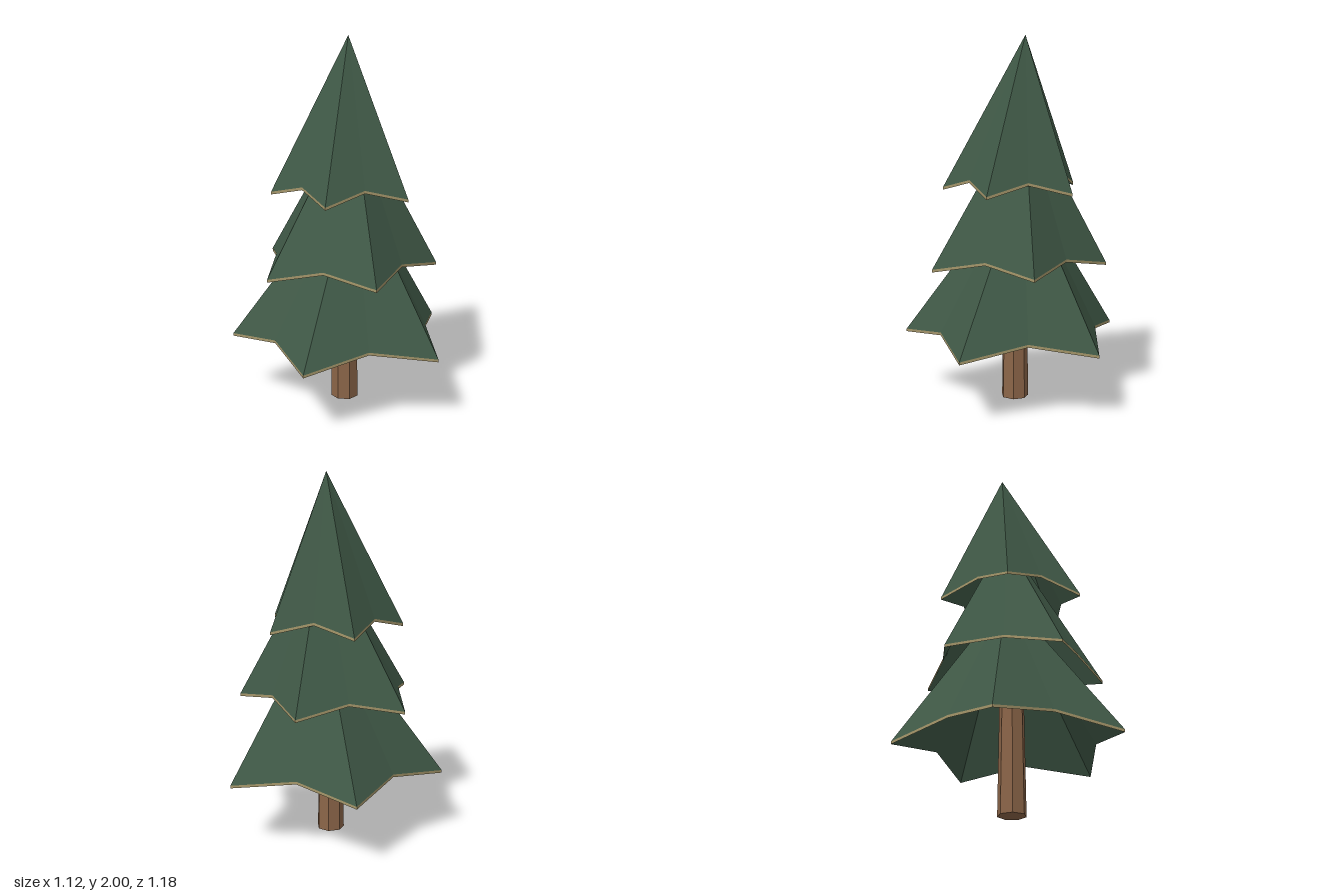
import * as THREE from 'three';

const needleGreen = new THREE.MeshStandardMaterial({ color: 0x3f5846, flatShading: true, name: 'needleGreen' });
const rimTan = new THREE.MeshStandardMaterial({ color: 0xa5966a, flatShading: true, name: 'rimTan' });
const barkBrown = new THREE.MeshStandardMaterial({ color: 0x8b6548, flatShading: true, name: 'barkBrown' });

const CENTRE_X = -0.06;
const RIM = 0.015;

function meshFromTriangles(points, material, name) {
  const geometry = new THREE.BufferGeometry().setFromPoints(points);
  geometry.computeVertexNormals();
  const mesh = new THREE.Mesh(geometry, material);
  mesh.name = name;
  return mesh;
}

// Hollow five-pointed cone: the tips droop below the valleys, a thin rim closes the edge
function makeTier({ name, tipRadius, valleyRadius, tipY, valleyY, phase, apex }) {
  const top = new THREE.Vector3(...apex);
  const down = new THREE.Vector3(0, -RIM, 0);
  const ring = [];
  for (let i = 0; i < 10; i++) {
    const angle = THREE.MathUtils.degToRad(phase + i * 36);
    const isTip = i % 2 === 0;
    const r = isTip ? tipRadius : valleyRadius;
    ring.push(new THREE.Vector3(
      CENTRE_X + r * Math.cos(angle), isTip ? tipY : valleyY, r * Math.sin(angle)));
  }
  const low = ring.map((p) => p.clone().add(down));
  const lowTop = top.clone().add(down);

  const outer = [], inner = [], rim = [];
  for (let i = 0; i < 10; i++) {
    const j = (i + 1) % 10;
    outer.push(top, ring[j], ring[i]);
    inner.push(lowTop, low[i], low[j]);
    rim.push(ring[i], ring[j], low[j], ring[i], low[j], low[i]);
  }
  const tier = new THREE.Group();
  tier.name = name;
  tier.add(
    meshFromTriangles(outer, needleGreen, 'branchTop'),
    meshFromTriangles(inner, needleGreen, 'branchUnderside'),
    meshFromTriangles(rim, rimTan, 'branchRim'));
  return tier;
}

export function createModel() {
  const tree = new THREE.Group();
  tree.name = 'pineTree';

  // Seven-sided trunk, reaching up inside the lowest tier
  const trunk = new THREE.Mesh(
    new THREE.CylinderGeometry(0.062, 0.076, 0.9, 7, 1, false, Math.PI / 2), barkBrown);
  trunk.name = 'trunk';
  trunk.position.set(CENTRE_X, 0.45, 0);
  tree.add(trunk);

  // Three tiers of branches, each turned against the one below
  const tiers = [
    { name: 'lowerTier', tipRadius: 0.62, valleyRadius: 0.447, tipY: 0.36, valleyY: 0.42, phase: 0, apex: [0, 1.26, 0] },
    { name: 'middleTier', tipRadius: 0.502, valleyRadius: 0.37, tipY: 0.775, valleyY: 0.83, phase: 33.5, apex: [0, 1.63, -0.01] },
    { name: 'upperTier', tipRadius: 0.392, valleyRadius: 0.285, tipY: 1.18, valleyY: 1.24, phase: -5.5, apex: [-0.01, 2, -0.033] },
  ];
  tiers.forEach((tier) => tree.add(makeTier(tier)));
  return tree;
}
